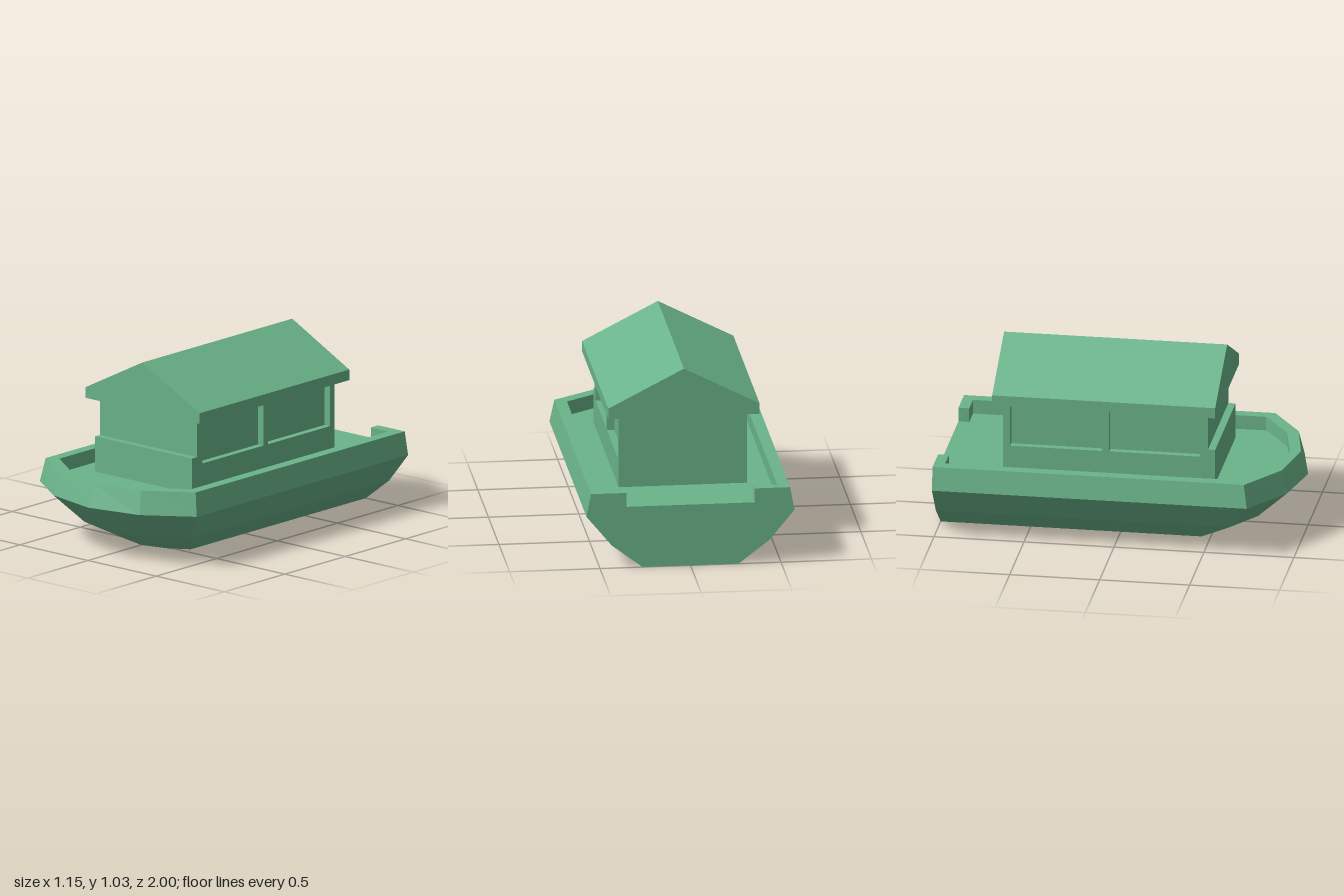
import * as THREE from 'three';

const material = new THREE.MeshStandardMaterial({ color: 0x6ab48a, flatShading: true });

function part(name, geometry, parent) {
  const mesh = new THREE.Mesh(geometry, material);
  mesh.name = name;
  parent.add(mesh);
  return mesh;
}

const shapeOf = (pts) => new THREE.Shape(pts.map(([a, b]) => new THREE.Vector2(a, b)));

// Half outline on the +x side followed by its mirror; a point at x = 0 is not repeated
const mirrored = (half) => [
  ...half,
  ...half.filter(([x]) => x > 0).reverse().map(([x, z]) => [-x, z]),
];

// Band of quads between two outlines at different heights
function band(a, ya, b, yb) {
  const pos = [];
  for (let i = 0; i < a.length - 1; i++) {
    const p = [a[i][0], ya, a[i][1]], q = [b[i][0], yb, b[i][1]];
    const r = [b[i + 1][0], yb, b[i + 1][1]], s = [a[i + 1][0], ya, a[i + 1][1]];
    pos.push(...p, ...q, ...r, ...p, ...r, ...s);
  }
  const g = new THREE.BufferGeometry();
  g.setAttribute('position', new THREE.Float32BufferAttribute(pos, 3));
  g.computeVertexNormals();
  return g;
}

// Flat horizontal surface facing up from an outline of (x, z) points
const floor = (pts, y) =>
  new THREE.ShapeGeometry(shapeOf(pts.map(([x, z]) => [x, -z]))).rotateX(-Math.PI / 2).translate(0, y, 0);

// Profile of (z, y) points extruded across x from x0 to x1
const across = (pts, x0, x1) =>
  new THREE.ExtrudeGeometry(shapeOf(pts), { depth: x1 - x0, bevelEnabled: false })
    .rotateY(-Math.PI / 2).translate(x1, 0, 0);

function createHull() {
  const hull = new THREE.Group();
  hull.name = 'hull';
  const deckY = 0.35, topY = 0.43;

  // Outer rings: height, half width, shoulder z, bow facet x and z, bow tip z
  const rings = [
    [0, 0.265, 0.45, 0.15, 0.52, 0.56],
    [0.13, 0.435, 0.63, 0.24, 0.76, 0.82],
    [0.3, 0.575, 0.75, 0.315, 0.93, 1],
    [topY, 0.55, 0.73, 0.3, 0.9, 0.96],
  ].map(([y, w, zs, m, zm, tip]) => ({
    y, w, pts: mirrored([[w, -1], [w, zs], [m, zm], [0, tip]]),
  }));
  ['lowerPlanking', 'upperPlanking', 'bulwarkOutside'].forEach((name, i) => {
    const lo = rings[i], hi = rings[i + 1];
    part(name, band(lo.pts, lo.y, hi.pts, hi.y), hull);
  });

  // Bulwark inside, its rim and the sunken deck, open at the stern
  const inner = mirrored([[0.355, -1], [0.355, -0.94], [0.485, -0.94], [0.485, 0.69], [0.27, 0.84], [0, 0.9]]);
  part('bulwarkInside', band(inner, topY, inner, deckY), hull);
  part('bulwarkRim', floor([...rings[3].pts, ...[...inner].reverse()], topY), hull);
  part('deck', floor(inner, deckY), hull);

  // Flat bottom and notched transom
  part('bottom', new THREE.ShapeGeometry(shapeOf(rings[0].pts)).rotateX(Math.PI / 2), hull);
  const transom = mirrored([...rings.map((r) => [r.w, r.y]), [0.355, topY], [0.355, deckY]]);
  part('transom', new THREE.ShapeGeometry(shapeOf(transom)).rotateY(Math.PI).translate(0, 0, -1), hull);
  return hull;
}

function createCabin() {
  const cabin = new THREE.Group();
  cabin.name = 'cabin';
  const base = 0.35, sill = 0.505, step = 0.55, top = 0.76;
  const back = -0.64, front = 0.5, stepFront = 0.54;
  const frontEdge = [[stepFront, base], [stepFront, step], [front, step], [front, top]];

  // Solid core with the step at the front
  part('cabinCore', across([[back, base], ...frontEdge, [back, top]], -0.315, 0.315), cabin);

  // Side walls, each with two window recesses reaching up to the eaves
  const side = [
    [back, base], ...frontEdge,
    [0.455, top], [0.455, sill], [-0.05, sill], [-0.05, top],
    [-0.09, top], [-0.09, sill], [-0.6, sill], [-0.6, top],
    [back, top],
  ];
  part('leftWindowWall', across(side, 0.315, 0.355), cabin);
  part('rightWindowWall', across(side, -0.355, -0.315), cabin);
  return cabin;
}

export function createModel() {
  const boat = new THREE.Group();
  boat.name = 'houseboat';
  boat.add(createHull(), createCabin());

  // Gabled roof with upright eaves
  const gable = mirrored([[0.418, 0.76], [0.418, 0.82], [0, 1.035]]);
  part('roof', new THREE.ExtrudeGeometry(shapeOf(gable), { depth: 1.24, bevelEnabled: false })
    .translate(0, 0, -0.69), boat);
  return boat;
}
